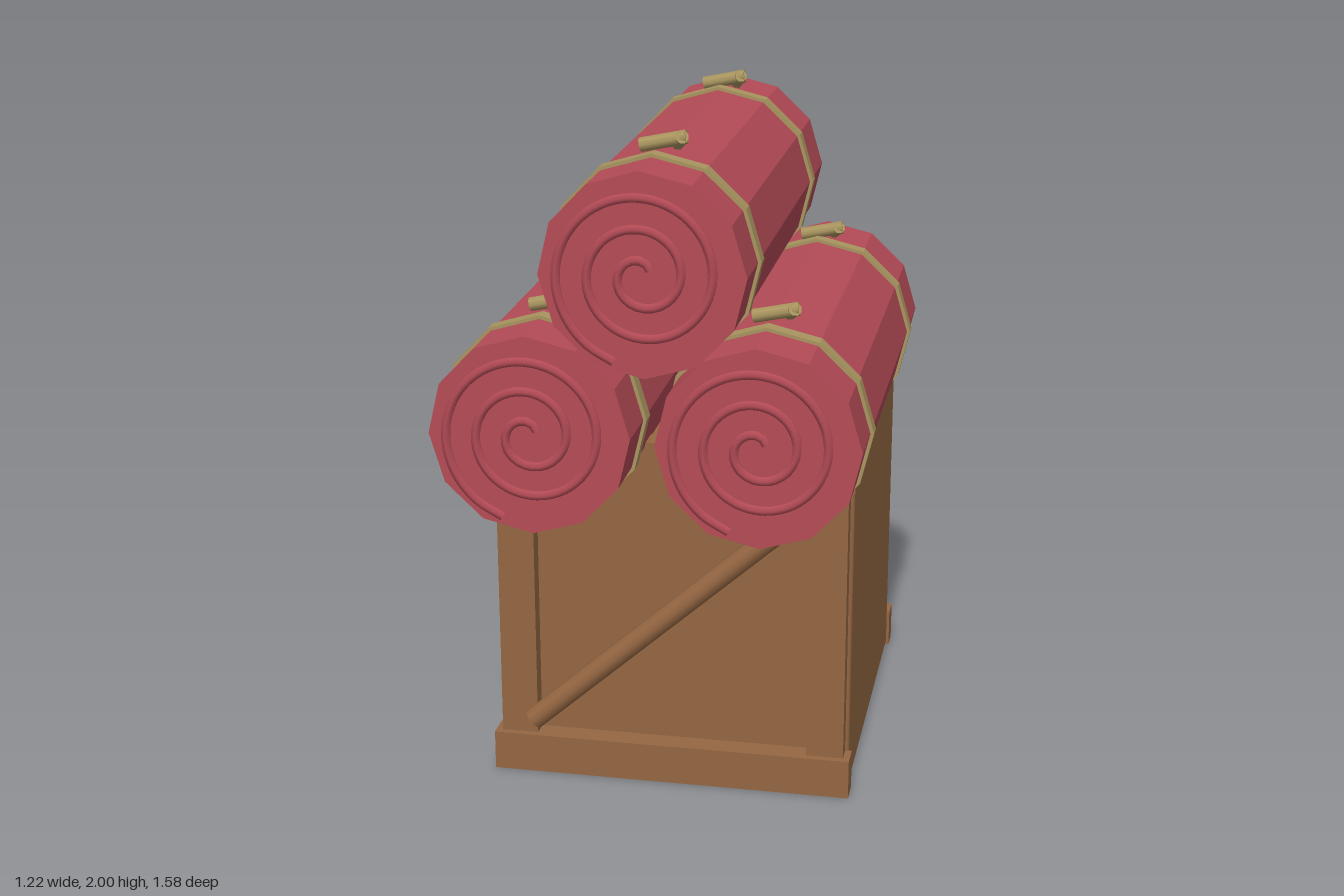
import * as THREE from 'three';
import { RoundedBoxGeometry } from 'three/addons/geometries/RoundedBoxGeometry.js';

const wood = new THREE.MeshStandardMaterial({ name: 'wood', color: 0x956743 });
const cloth = new THREE.MeshStandardMaterial({ name: 'red cloth', color: 0xb44b56 });
const rope = new THREE.MeshStandardMaterial({ name: 'rope', color: 0xa9955f });
// Flat-faceted versions share the same colours through non-indexed geometry
function add(parent, name, geometry, material, x = 0, y = 0, z = 0) {
  const mesh = new THREE.Mesh(geometry, material);
  mesh.name = name;
  mesh.position.set(x, y, z);
  parent.add(mesh);
  return mesh;
}

function faceted(geometry) {
  const flat = geometry.toNonIndexed();
  flat.computeVertexNormals();
  return flat;
}

// Round bar between two points
function bar(parent, name, a, b, radius, sides, material) {
  const from = new THREE.Vector3(...a);
  const to = new THREE.Vector3(...b);
  const dir = to.clone().sub(from);
  const mesh = add(parent, name, new THREE.CylinderGeometry(radius, radius, dir.length(), sides), material);
  mesh.position.copy(from).add(to).multiplyScalar(0.5);
  mesh.quaternion.setFromUnitVectors(new THREE.Vector3(0, 1, 0), dir.normalize());
  return mesh;
}

// Twelve-sided prism lying along z
function prism(radius, length) {
  const g = faceted(new THREE.CylinderGeometry(radius, radius, length, 12));
  g.rotateX(Math.PI / 2);
  g.rotateZ(THREE.MathUtils.degToRad(1.5));
  return g;
}

// Raised seam winding in from the rim of a roll
function spiralGeometry() {
  const points = [];
  const steps = 48;
  for (let i = 0; i <= steps; i++) {
    const t = i / steps;
    const angle = THREE.MathUtils.degToRad(-108 - t * 360 * 2.6);
    const r = 0.25 - 0.22 * t;
    points.push(new THREE.Vector3(Math.cos(angle) * r, Math.sin(angle) * r, 0));
  }
  return new THREE.TubeGeometry(new THREE.CatmullRomCurve3(points), 110, 0.014, 6);
}

function createCrate() {
  const crate = new THREE.Group();
  crate.name = 'crate';
  crate.position.z = -0.17;
  add(crate, 'crateBody', new RoundedBoxGeometry(1.064, 1.065, 1.06, 1, 0.014), wood, 0, 0.5375, 0);
  for (const s of [1, -1]) {
    const side = s > 0 ? 'front' : 'back';
    // Rails and corner posts frame each end
    add(crate, side + 'BottomRail', new THREE.BoxGeometry(1.08, 0.12, 0.075), wood, 0, 0.06, s * 0.5625);
    add(crate, side + 'TopRail', new THREE.BoxGeometry(1.08, 0.115, 0.075), wood, 0, 1.0225, s * 0.5625);
    for (const x of [-0.465, 0.465]) {
      add(crate, side + 'Post', new THREE.BoxGeometry(0.11, 1.06, 0.06), wood, x, 0.54, s * 0.549);
    }
    // Diagonal brace
    bar(crate, side + 'Brace', [-0.42, 0.167, s * 0.583], [0.42, 0.917, s * 0.583], 0.033, 10, wood);
  }
  return crate;
}

function createRoll(name, x, y) {
  const roll = new THREE.Group();
  roll.name = name;
  roll.position.set(x, y, 0);
  add(roll, 'clothRoll', prism(0.283, 1.45), cloth, 0, 0, 0.05);
  for (const z of [0.775, -0.675]) add(roll, 'spiralSeam', spiralGeometry(), cloth, 0, 0, z);
  for (const z of [0.58, -0.42]) add(roll, 'ropeBand', prism(0.293, 0.046), rope, 0, 0, z);
  // Knotted rope ends
  for (const z of [0.497, -0.451]) {
    bar(roll, 'knotBar', [-0.06, 0.293, z], [0.068, 0.32, z], 0.02, 8, rope);
    bar(roll, 'knotTail', [0.058, 0.322, z + 0.015], [0.032, 0.288, z - 0.06], 0.019, 8, rope);
  }
  return roll;
}

export function createModel() {
  const model = new THREE.Group();
  model.name = 'crateWithClothRolls';
  model.add(createCrate());
  model.add(createRoll('leftRoll', 0.314, 1.2));
  model.add(createRoll('rightRoll', -0.318, 1.2));
  model.add(createRoll('topRoll', 0, 1.665));
  return model;
}
